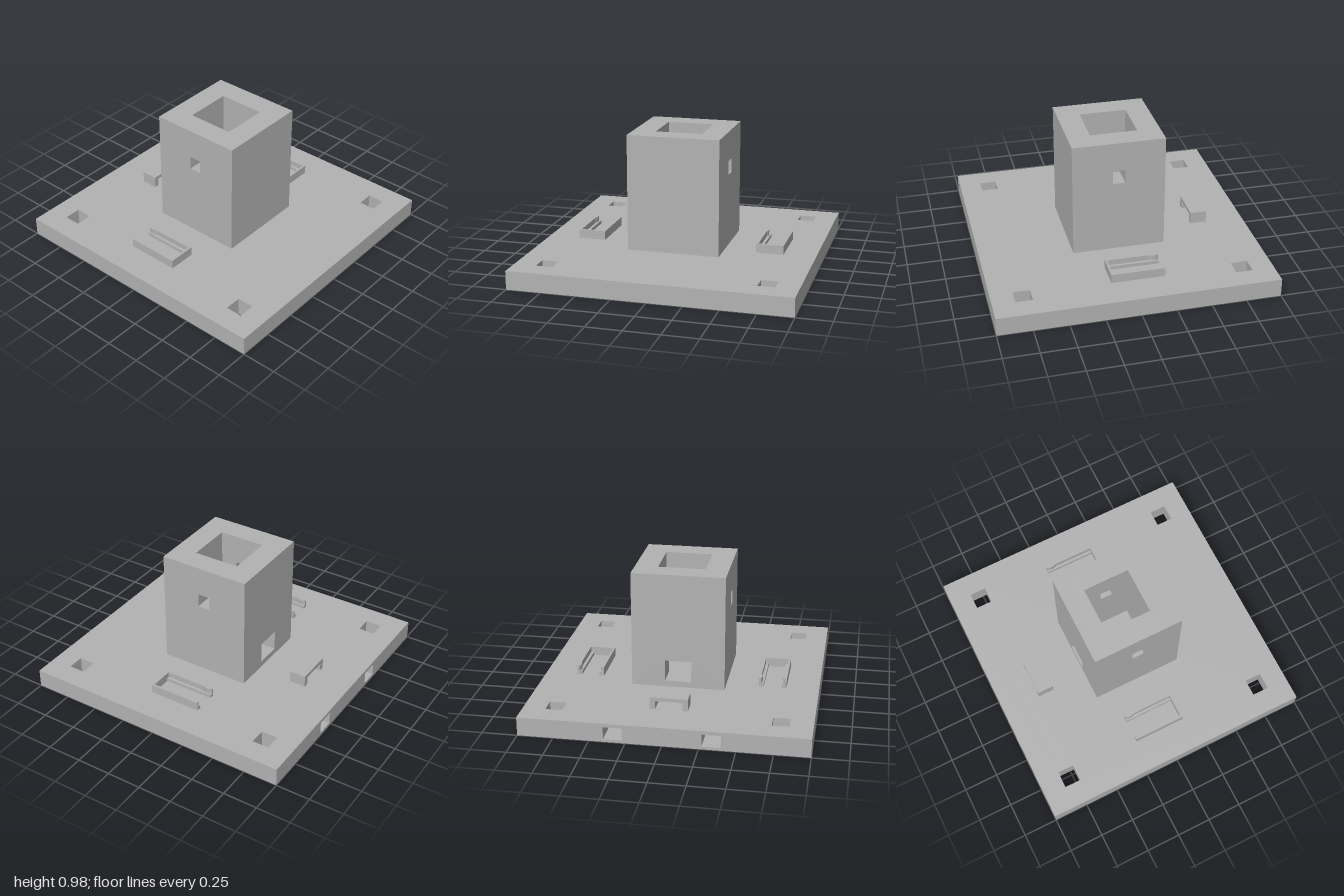
import * as THREE from 'three';

const grey = new THREE.MeshStandardMaterial({ color: 0xb2b2b2 });
grey.name = 'grey plastic';

function add(parent, name, geometry) {
  const mesh = new THREE.Mesh(geometry, grey);
  mesh.name = name;
  parent.add(mesh);
  return mesh;
}

// Box given by its minimum and maximum corners
function box(parent, name, x0, x1, y0, y1, z0, z1) {
  const g = new THREE.BoxGeometry(x1 - x0, y1 - y0, z1 - z0);
  g.translate((x0 + x1) / 2, (y0 + y1) / 2, (z0 + z1) / 2);
  return add(parent, name, g);
}

function polygon(points, Type = THREE.Shape) {
  return new Type(points.map(([x, y]) => new THREE.Vector2(x, y)));
}

function rect(x0, x1, y0, y1, Type = THREE.Shape) {
  return polygon([[x0, y0], [x1, y0], [x1, y1], [x0, y1]], Type);
}

function extrude(shape, depth) {
  return new THREE.ExtrudeGeometry(shape, { depth, bevelEnabled: false });
}

// Horizontal layer: shape y points to the back
function layer(parent, name, shape, y0, y1) {
  const g = extrude(shape, y1 - y0);
  g.rotateX(-Math.PI / 2);
  g.translate(0, y0, 0);
  return add(parent, name, g);
}

// Square plate with four bolt holes and two blind channels in the back edge
function makeBase() {
  const base = new THREE.Group();
  base.name = 'base';
  const c = 0.335, w = 0.065, end = 0.4;
  const notched = [[-1, -1], [1, -1], [1, 1]];
  for (const x of [c, -c]) {
    notched.push([x + w, 1], [x + w, end], [x - w, end], [x - w, 1]);
  }
  notched.push([-1, 1]);
  const layers = [
    ['baseBottom', rect(-1, 1, -1, 1), 0, 0.02],
    ['baseChannels', polygon(notched), 0.02, 0.11],
    ['baseTop', rect(-1, 1, -1, 1), 0.11, 0.135],
  ];
  for (const [name, shape, y0, y1] of layers) {
    for (const x of [-0.78, 0.78]) for (const y of [-0.78, 0.78]) {
      shape.holes.push(rect(x - 0.06, x + 0.06, y - 0.06, y + 0.06, THREE.Path));
    }
    layer(base, name, shape, y0, y1);
  }
  return base;
}

// Hollow square tower with side windows and a rear cable opening
function makeTower() {
  const tower = new THREE.Group();
  tower.name = 'tower';
  const o = 0.335, i = 0.17, y0 = 0.135, y1 = 0.98;
  box(tower, 'towerFloor', -i, i, y0, 0.18, -i, i);
  box(tower, 'towerFront', -o, o, y0, y1, i, o);

  const back = rect(-o, o, y0, y1);
  back.holes.push(rect(-0.095, 0.095, 0.18, 0.335, THREE.Path));
  add(tower, 'towerBack', extrude(back, o - i).translate(0, 0, -o));

  for (const [name, x] of [['towerLeft', i], ['towerRight', -o]]) {
    const side = rect(-i, i, y0, y1);
    side.holes.push(rect(-0.045, 0.045, 0.665, 0.765, THREE.Path));
    const g = extrude(side, o - i).rotateY(Math.PI / 2);
    add(tower, name, g.translate(x, 0, 0));
  }
  return tower;
}

// U-shaped holder, open to the back, with inner ledges and end catches
function makeHolder(name, x) {
  const holder = new THREE.Group();
  holder.name = name;
  const y0 = 0.135, y1 = 0.2, back = -0.225, front = 0.16, wall = 0.015;
  box(holder, 'holderFront', -0.1, 0.1, y0, y1, front - wall, front);
  for (const s of [-1, 1]) {
    const span = (a, b) => [Math.min(s * a, s * b), Math.max(s * a, s * b)];
    box(holder, 'holderWall', ...span(0.085, 0.1), y0, y1, back, front - wall);
    box(holder, 'holderLedge', ...span(0.064, 0.085), y0, 0.16, back, front - wall);
    const catchShape = polygon([
      [s * 0.085, 0.225], [s * 0.076, 0.205], [s * 0.076, 0.175], [s * 0.085, 0.155],
    ]);
    layer(holder, 'holderCatch', catchShape, 0.16, y1);
  }
  holder.position.x = x;
  return holder;
}

// Small cable bridge behind the tower
function makeBridge() {
  const arch = polygon([
    [-0.133, 0.135], [-0.095, 0.135], [-0.095, 0.195], [0.095, 0.195],
    [0.095, 0.135], [0.133, 0.135], [0.133, 0.222], [-0.133, 0.222],
  ]);
  const bridge = new THREE.Mesh(extrude(arch, 0.12).translate(0, 0, -0.72), grey);
  bridge.name = 'cableBridge';
  return bridge;
}

export function createModel() {
  const model = new THREE.Group();
  model.name = 'towerStand';
  model.add(
    makeBase(),
    makeTower(),
    makeHolder('leftHolder', 0.668),
    makeHolder('rightHolder', -0.668),
    makeBridge(),
  );
  return model;
}
